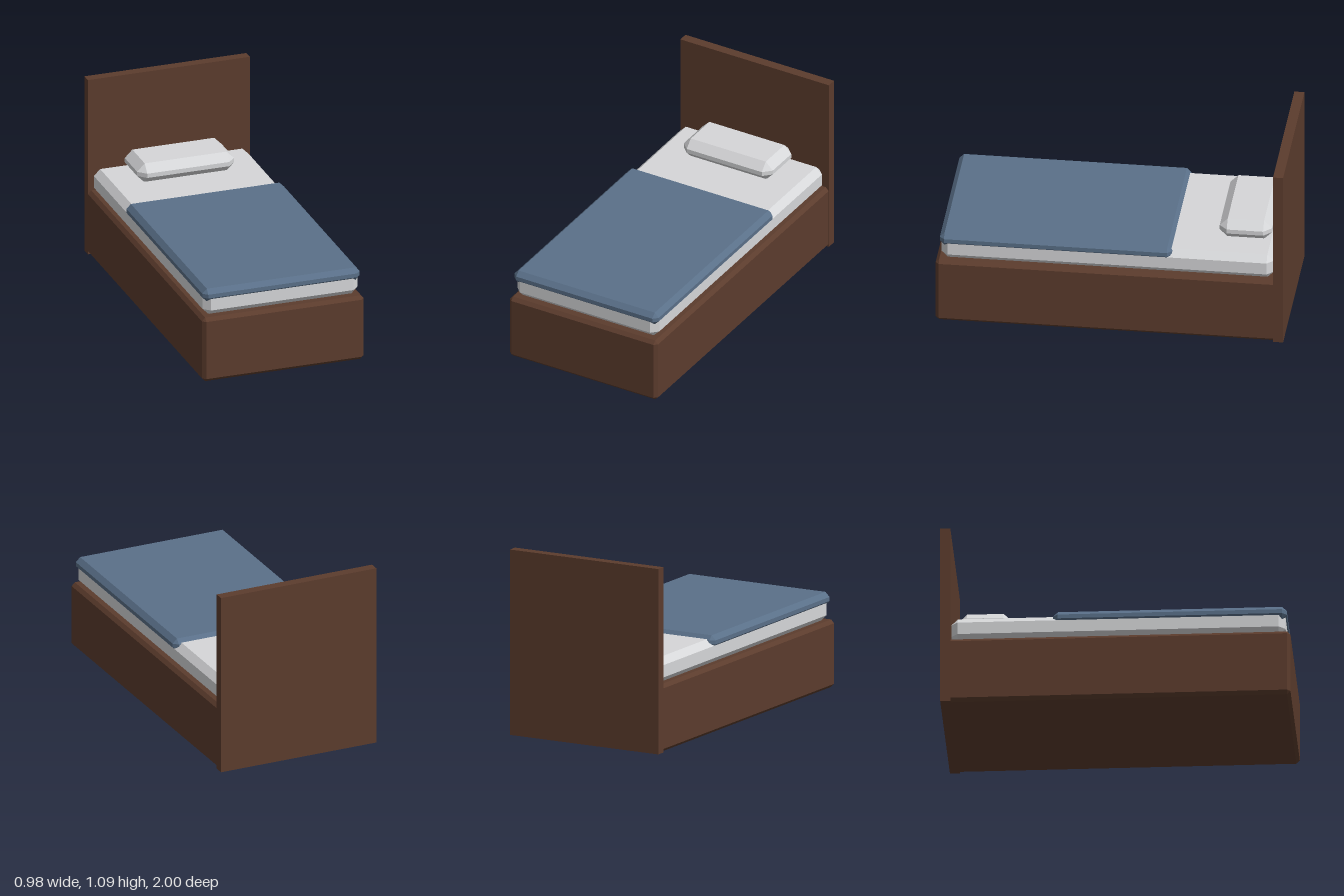
import * as THREE from 'three';

// Box with one flat bevel of width c on every edge, given by its extents
function bevelBox([x0, x1], [y0, y1], [z0, z1], c) {
  const rect = (y) => [[x1 - c, y, z0 + c], [x1 - c, y, z0 + c], [x1 - c, y, z1 - c], [x1 - c, y, z1 - c],
    [x0 + c, y, z1 - c], [x0 + c, y, z1 - c], [x0 + c, y, z0 + c], [x0 + c, y, z0 + c]];
  const octagon = (y) => [[x1 - c, y, z0], [x1, y, z0 + c], [x1, y, z1 - c], [x1 - c, y, z1],
    [x0 + c, y, z1], [x0, y, z1 - c], [x0, y, z0 + c], [x0 + c, y, z0]];
  const rings = [rect(y0), octagon(y0 + c), octagon(y1 - c), rect(y1)];
  const pos = [];
  const same = (a, b) => a.every((v, i) => v === b[i]);
  const tri = (a, b, d) => {
    if (!same(a, b) && !same(b, d) && !same(a, d)) pos.push(...a, ...b, ...d);
  };
  // Side bands between neighbouring rings
  for (let r = 0; r < 3; r++) {
    const lo = rings[r], hi = rings[r + 1];
    for (let i = 0; i < 8; i++) {
      const j = (i + 1) % 8;
      tri(lo[i], hi[i], hi[j]);
      tri(lo[i], hi[j], lo[j]);
    }
  }
  // Bottom and top faces
  const b = rings[0], t = rings[3];
  tri(b[0], b[2], b[4]);
  tri(b[0], b[4], b[6]);
  tri(t[0], t[4], t[2]);
  tri(t[0], t[6], t[4]);
  const geo = new THREE.BufferGeometry();
  geo.setAttribute('position', new THREE.Float32BufferAttribute(pos, 3));
  geo.computeVertexNormals();
  return geo;
}

export function createModel() {
  const material = (name, color) => {
    const m = new THREE.MeshStandardMaterial({ color });
    m.name = name;
    return m;
  };
  const wood = material('brown wood', 0x5c3c2d);
  const linen = material('white linen', 0xd6d7d9);
  const blue = material('blue cloth', 0x5a7089);

  const group = new THREE.Group();
  group.name = 'bed';
  const add = (name, geo, mat) => {
    const mesh = new THREE.Mesh(geo, mat);
    mesh.name = name;
    group.add(mesh);
    return mesh;
  };

  // Wooden parts; the base runs a little way into the headboard
  add('bedBase', bevelBox([-0.49, 0.49], [0, 0.395], [-0.965, 1], 0.02), wood);
  add('headboard', new THREE.BoxGeometry(0.982, 1.085, 0.058), wood).position.set(0, 0.5425, -0.971);

  // Bedding
  add('mattress', bevelBox([-0.469, 0.469], [0.391, 0.539], [-0.94, 0.97], 0.038), linen);
  add('pillow', bevelBox([-0.297, 0.291], [0.533, 0.651], [-0.906, -0.605], 0.046), linen);
  add('blanket', bevelBox([-0.477, 0.477], [0.482, 0.56], [-0.357, 0.978], 0.027), blue);
  return group;
}
